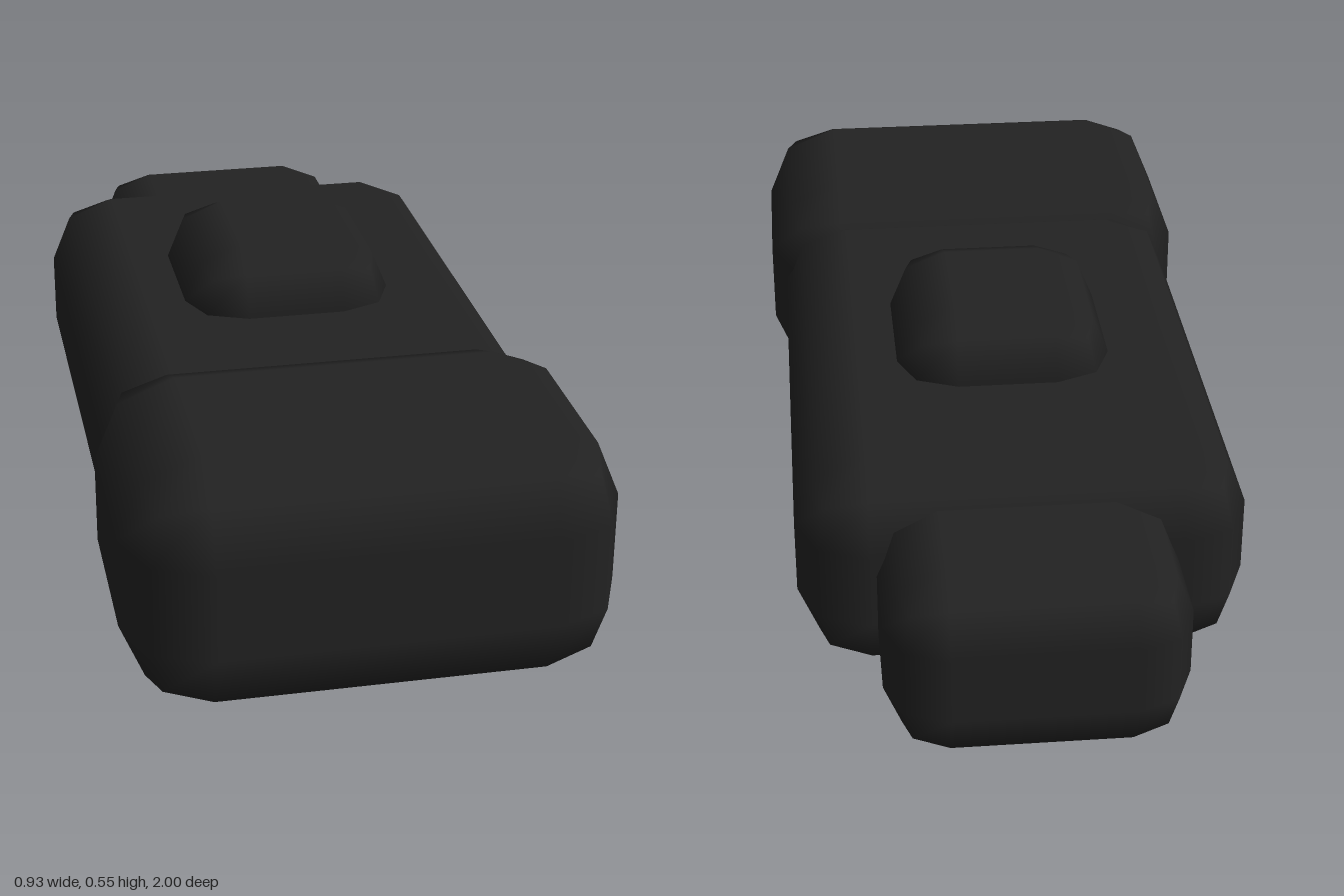
import * as THREE from 'three';
import { RoundedBoxGeometry } from 'three/addons/geometries/RoundedBoxGeometry.js';

export function createModel() {
  const group = new THREE.Group();
  const black = new THREE.MeshStandardMaterial({ color: 0x222222 });
  black.name = 'matte black';

  // Soft block with one bevel ring, given by its width and its y and z ranges
  function block(name, width, [y0, y1], [z0, z1], radius) {
    const geometry = new RoundedBoxGeometry(width, y1 - y0, z1 - z0, 1, radius);
    const mesh = new THREE.Mesh(geometry, black);
    mesh.name = name;
    mesh.position.set(0, (y0 + y1) / 2, (z0 + z1) / 2);
    group.add(mesh);
  }

  block('body', 0.87, [0, 0.427], [-0.72, 0.6], 0.138);
  block('frontHead', 0.93, [0, 0.487], [0.368, 1], 0.156);
  block('rearCap', 0.57, [0, 0.368], [-1, -0.55], 0.117);
  block('topButton', 0.43, [0.3, 0.545], [-0.33, 0.152], 0.116);

  return group;
}
